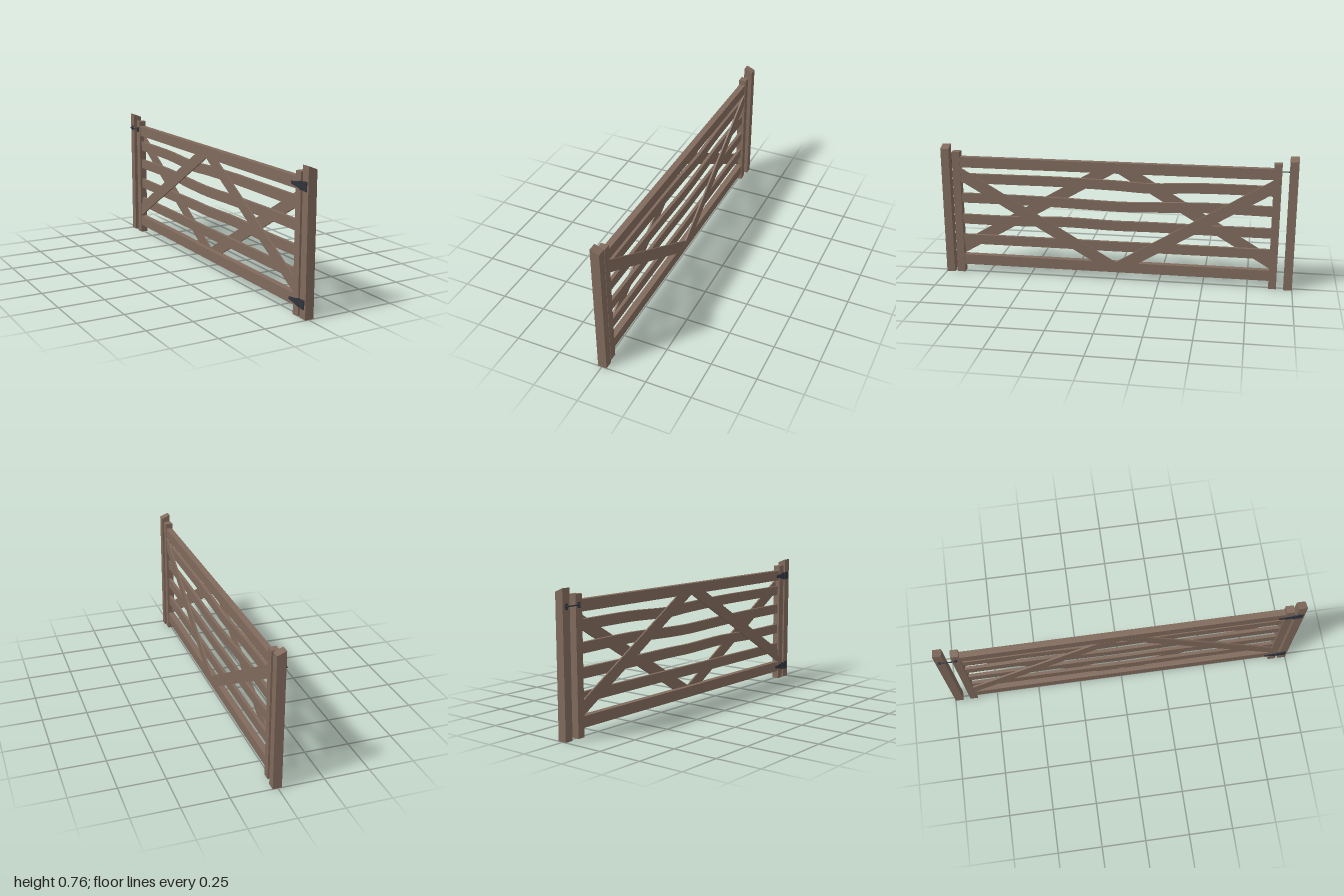
import * as THREE from 'three';

export function createModel() {
  const gate = new THREE.Group();
  gate.name = 'fieldGate';
  const wood = new THREE.MeshStandardMaterial({ color: 0x806a5c });
  wood.name = 'weathered wood';
  const iron = new THREE.MeshStandardMaterial({ color: 0x30343c });
  iron.name = 'dark iron';

  const add = (name, geometry, material, parent = gate) => {
    const mesh = new THREE.Mesh(geometry, material);
    mesh.name = name;
    parent.add(mesh);
    return mesh;
  };

  // Outline drawn as [z, y] points, given thickness from x0 to x1
  const slab = (name, points, x0, x1, material = wood, parent = gate) => {
    const shape = new THREE.Shape(points.map(([z, y]) => new THREE.Vector2(z, y)));
    const g = new THREE.ExtrudeGeometry(shape, { depth: x1 - x0, bevelEnabled: false });
    g.rotateY(-Math.PI / 2);
    g.translate(x1, 0, 0);
    return add(name, g, material, parent);
  };
  const rect = (z0, z1, y0, y1) => [[z0, y0], [z1, y0], [z1, y1], [z0, y1]];

  // Outer posts with sloping tops
  for (const [name, z] of [['hingePost', 0.953], ['latchPost', -1]]) {
    const profile = new THREE.Shape([[-0.021, 0], [0.028, 0], [0.028, 0.74], [-0.021, 0.76]]
      .map(([x, y]) => new THREE.Vector2(x, y)));
    const g = new THREE.ExtrudeGeometry(profile, { depth: 0.047, bevelEnabled: false });
    g.translate(0, 0, z);
    add(name, g, wood);
  }

  // Gate stiles
  const zBack = -0.869, zFront = 0.893;
  slab('hingeStile', rect(zFront, 0.938, 0, 0.723), -0.021, 0.021);
  slab('latchStile', rect(-0.912, zBack, 0, 0.723), -0.021, 0.021);

  // Thick straight top and bottom rails
  slab('topRail', rect(zBack, zFront, 0.633, 0.693), -0.0175, 0.0175);
  slab('bottomRail', rect(zBack, zFront, 0.047, 0.107), -0.0175, 0.0175);

  // Thin middle rails, gently warped: centre heights at even steps from back to front
  const zs = [zBack, -0.5, -0.2, 0, 0.3, 0.6, zFront];
  const rails = [
    [0.200, 0.200, 0.200, 0.199, 0.200, 0.200, 0.200],
    [0.323, 0.323, 0.325, 0.323, 0.330, 0.321, 0.322],
    [0.449, 0.453, 0.441, 0.437, 0.445, 0.449, 0.449],
    [0.565, 0.565, 0.552, 0.560, 0.567, 0.567, 0.566],
  ];
  rails.forEach((heights, i) => {
    const curve = new THREE.SplineCurve(zs.map((z, k) => new THREE.Vector2(z, heights[k])));
    const mid = curve.getPoints(30);
    const lower = mid.map(p => [p.x, p.y - 0.028]);
    const upper = mid.map(p => [p.x, p.y + 0.028]).reverse();
    slab(`middleRail${i + 1}`, [...lower, ...upper], -0.009, 0.009);
  });

  // Braces: a V on one face and an inverted V on the other
  for (const end of [zFront, zBack]) {
    const s = Math.sign(end);
    const arm = [[0, 0.107], [0.125 * s, 0.104], [end, 0.553], [end, 0.63]];
    slab('vBrace', arm, 0.009, 0.0182);
    slab('invertedVBrace', arm.map(([z, y]) => [z, 0.74 - y]), -0.0182, -0.009);
  }

  // Small bolt head facing -x
  const bolt = (y, z, parent, x = -0.0255) => {
    const g = new THREE.CylinderGeometry(0.0035, 0.0035, 0.004, 8);
    g.rotateZ(Math.PI / 2);
    g.translate(x, y, z);
    add('bolt', g, iron, parent);
  };

  // Hinges: two tapered leaves, a knuckle between them and bolts
  for (const y of [0.658, 0.075]) {
    const hinge = new THREE.Group();
    hinge.name = 'hinge';
    gate.add(hinge);
    const h = 0.024;
    slab('postLeaf', [[0.95, y - 0.012], [0.962, y - h], [0.99, y - h], [0.99, y + h], [0.962, y + h], [0.95, y + 0.012]],
      -0.0245, -0.0205, iron, hinge);
    slab('gateLeaf', [[0.943, y - h], [0.943, y + h], [0.915, y + 0.015], [0.86, y + 0.007], [0.86, y - 0.007], [0.915, y - 0.015]],
      -0.0245, -0.0205, iron, hinge);
    for (const dy of [-0.014, 0, 0.014]) {
      const knuckle = new THREE.CylinderGeometry(0.0055, 0.0055, 0.011, 10);
      knuckle.translate(-0.0235, y + dy, 0.9465);
      add('knuckle', knuckle, iron, hinge);
    }
    for (const [dy, z] of [[0.015, 0.976], [-0.015, 0.976], [0.01, 0.927], [-0.01, 0.927], [0, 0.885]]) {
      bolt(y + dy, z, hinge);
    }
  }

  // Latch: a bar across the gap, held by a plate and a keeper
  const latch = new THREE.Group();
  latch.name = 'latch';
  gate.add(latch);
  const bar = new THREE.CylinderGeometry(0.0035, 0.0035, 0.105, 8);
  bar.rotateX(Math.PI / 2);
  bar.translate(-0.0265, 0.67, -0.94);
  add('latchBar', bar, iron, latch);
  for (const z of [-0.975, -0.891]) {
    slab('latchPlate', rect(z - 0.008, z + 0.008, 0.654, 0.684), -0.0245, -0.0205, iron, latch);
    const ring = new THREE.TorusGeometry(0.0055, 0.002, 6, 10);
    ring.translate(-0.0265, 0.67, z);
    add('keeper', ring, iron, latch);
    bolt(0.659, z, latch);
    bolt(0.68, z, latch);
  }
  return gate;
}
